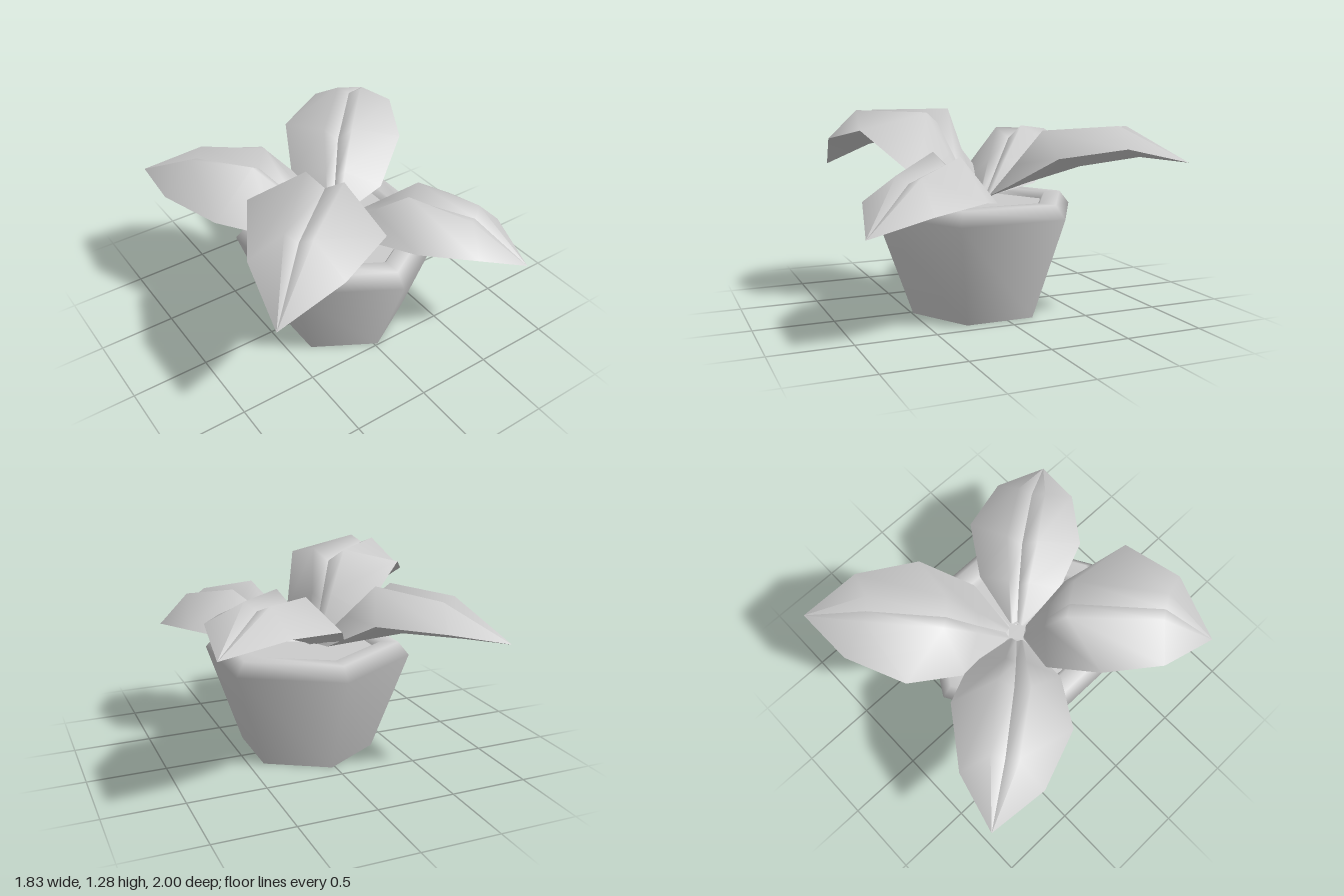
import * as THREE from 'three';

function addMesh(parent, name, geometry) {
  const material = new THREE.MeshStandardMaterial({ color: 0xcccccc, side: THREE.DoubleSide });
  const mesh = new THREE.Mesh(geometry, material);
  mesh.name = name;
  parent.add(mesh);
}

// Six-sided pot with a bevelled lip, flat base and slightly sunken soil
function makePot() {
  const pot = new THREE.Group();
  pot.name = 'pot';
  const wall = [[0.442, 0], [0.674, 0.65], [0.604, 0.735], [0.49, 0.735], [0.46, 0.69]]
    .map(([r, y]) => new THREE.Vector2(r, y));
  addMesh(pot, 'potWall', new THREE.LatheGeometry(wall, 6));
  const disc = (name, r, y, turn) => {
    const g = new THREE.CircleGeometry(r, 6, Math.PI / 2);
    addMesh(pot, name, g.rotateX(turn).translate(0, y, 0));
  };
  disc('potBase', 0.442, 0, Math.PI / 2);
  disc('soil', 0.46, 0.69, -Math.PI / 2);
  pot.position.set(0.022, 0, 0.05);
  return pot;
}

// Each leaf: tip position, direction across the blade from side B to side A, and rows of
// [distance, half width, height on side A, height on side B]
// for the raised folds beside the midrib and for the drooping outer edges
const leaves = [
  { name: 'leafFrontLeft', tip: [0.775, 0.66, 0.995], across: [0.83, -0.56],
    folds: [[0.505, 0.1, 1.04, 1.06], [0.9, 0.09, 0.96, 0.96]],
    edges: [[0.32, 0.265, 0.75, 0.8], [0.65, 0.37, 0.81, 0.845], [1.0, 0.255, 0.77, 0.81]] },
  { name: 'leafFrontRight', tip: [-0.92, 0.88, 0.81], across: [0.565, 0.825],
    folds: [[0.31, 0.12, 1.27, 1.285], [0.875, 0.085, 1.27, 1.265]],
    edges: [[0.24, 0.305, 0.85, 0.9], [0.573, 0.425, 1.165, 1.19], [0.94, 0.29, 1.09, 1.06]] },
  { name: 'leafBackRight', tip: [-0.84, 0.895, -1.0], across: [-0.81, 0.59],
    folds: [[0.47, 0.1, 1.14, 1.16], [0.9, 0.085, 1.11, 1.11]],
    edges: [[0.26, 0.285, 0.76, 0.8], [0.61, 0.373, 0.88, 0.99], [1.01, 0.253, 0.91, 0.97]] },
  { name: 'leafBackLeft', tip: [0.91, 1.0, -0.945], across: [-0.68, -0.73],
    folds: [[0.425, 0.095, 1.14, 1.17], [0.9, 0.08, 1.2, 1.21]],
    edges: [[0.29, 0.305, 0.85, 0.84], [0.633, 0.4, 1.02, 1.03], [1.01, 0.27, 1.07, 1.09]] },
];

// Smooth sheet between lines of [distance, sideways, height] points
function sheet({ tip, across }, lines) {
  const length = Math.hypot(tip[0], tip[2]);
  const rows = lines[0].length, cols = lines.length;
  const points = [], index = [];
  for (let row = 0; row < rows; row++) {
    for (const line of lines) {
      const [d, s, y] = line[row];
      // The midrib bends gently to one side
      const side = s + 0.043 * Math.sin((Math.PI * d) / length);
      points.push((tip[0] * d) / length + across[0] * side, y,
        (tip[2] * d) / length + across[1] * side);
    }
  }
  for (let row = 0; row < rows - 1; row++) {
    for (let col = 0; col < cols - 1; col++) {
      const a = row * cols + col, c = a + cols;
      index.push(a, c, a + 1);
      if (row < rows - 2) index.push(a + 1, c, c + 1);
    }
  }
  const g = new THREE.BufferGeometry();
  g.setAttribute('position', new THREE.Float32BufferAttribute(points, 3));
  g.setIndex(index);
  g.computeVertexNormals();
  return g;
}

function makeLeaf(leaf) {
  const { tip, folds, edges } = leaf;
  const end = [Math.hypot(tip[0], tip[2]), 0, tip[1]];
  const root = (w) => [0.05, w, 0.73];
  const place = (rows, sign) =>
    rows.map(([d, w, yA, yB]) => [d, w * sign, sign > 0 ? yA : yB]);
  const fold = (sign) => {
    const [first, second] = place(folds, sign);
    const start = root(0.03 * sign);
    return [start, start.map((v, i) => (v + first[i]) / 2), first, second, end];
  };
  const edge = (sign) => [root(0.045 * sign), ...place(edges, sign), end];
  const between = (a, b, drop) =>
    a.map((p, row) => p.map((v, i) => (v + b[row][i]) / 2 - (i === 2 ? drop[row] : 0)));

  const [foldA, foldB, edgeA, edgeB] = [fold(1), fold(-1), edge(1), edge(-1)];
  const midrib = between(foldA, foldB, [0.01, 0.05, 0.08, 0.04, 0]);
  const belly = between(edgeA, edgeB, [0, 0.02, 0.08, 0.06, 0]);

  const group = new THREE.Group();
  group.name = leaf.name;
  // Separate halves keep the midrib sharp; the underside closes the blade
  addMesh(group, 'bladeHalfA', sheet(leaf, [midrib, foldA, edgeA]));
  addMesh(group, 'bladeHalfB', sheet(leaf, [edgeB, foldB, midrib]));
  addMesh(group, 'bladeUnderside', sheet(leaf, [edgeA, belly, edgeB]));
  return group;
}

export function createModel() {
  const model = new THREE.Group();
  model.name = 'pottedPlant';
  model.add(makePot(), ...leaves.map(makeLeaf));
  return model;
}
